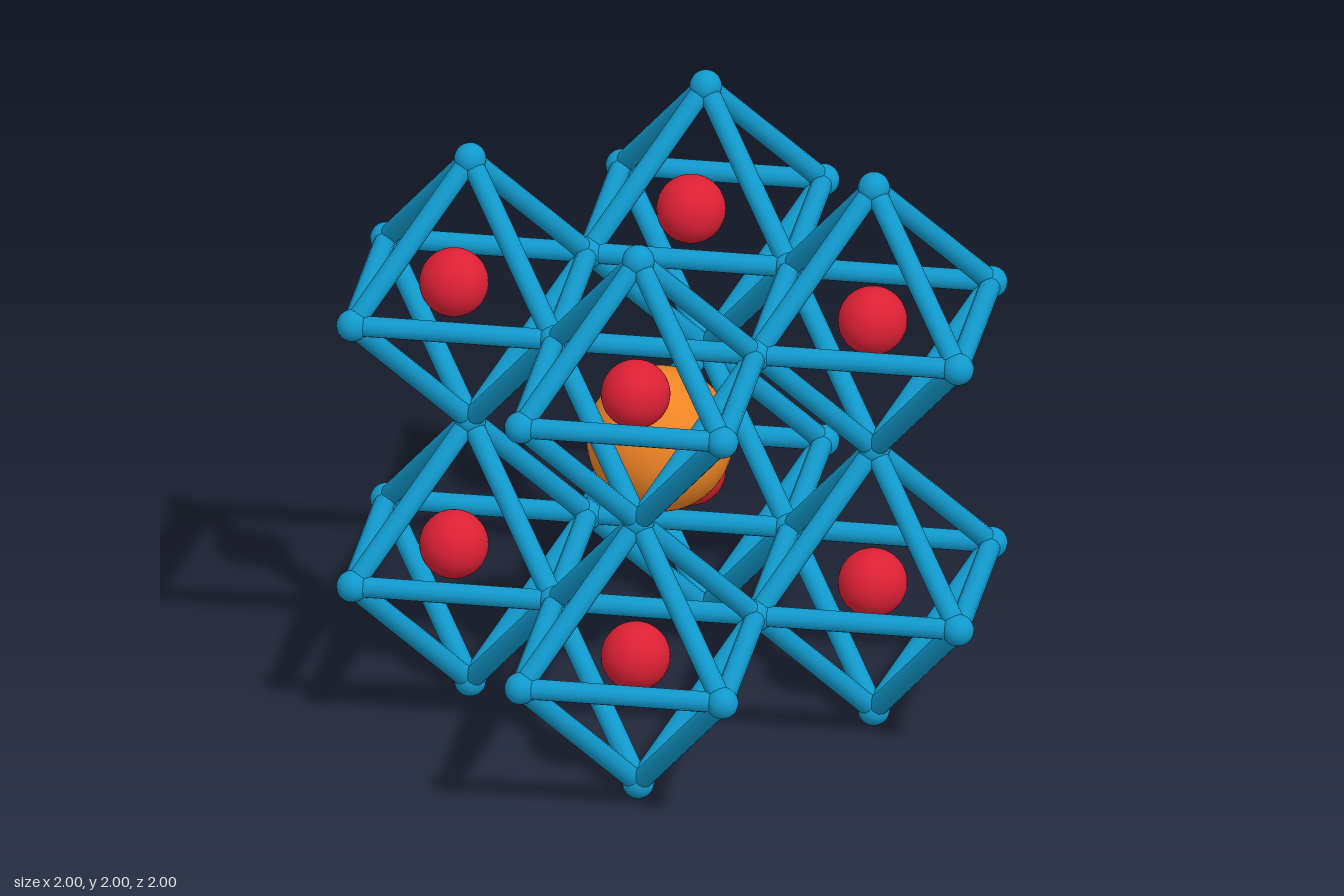
import * as THREE from 'three';

const A = 0.473;          // half diagonal of one octahedron
const ROD_R = 0.035;
const JOINT_R = 0.053;

export function createModel() {
  const model = new THREE.Group();
  model.name = 'crystalLattice';
  const blue = new THREE.MeshStandardMaterial({ color: 0x1199cc });
  const red = new THREE.MeshStandardMaterial({ color: 0xdc2035 });
  const orange = new THREE.MeshStandardMaterial({ color: 0xee8425 });

  const rodGeo = new THREE.CylinderGeometry(ROD_R, ROD_R, A * Math.SQRT2, 12);
  const jointGeo = new THREE.SphereGeometry(JOINT_R, 20, 14);
  const smallAtomGeo = new THREE.SphereGeometry(0.114, 32, 24);
  const up = new THREE.Vector3(0, 1, 0);
  const joints = new Map();

  const add = (parent, name, geo, mat, pos) => {
    const mesh = new THREE.Mesh(geo, mat);
    mesh.name = name;
    mesh.position.copy(pos);
    parent.add(mesh);
    return mesh;
  };

  // Six corners of an octahedron, as opposite pairs
  const corners = [0, 1, 2].flatMap((axis) =>
    [-A, A].map((d) => new THREE.Vector3().setComponent(axis, d)));

  // Twelve rods joining every pair of corners that are not opposite
  const addOctahedron = (centre) => {
    const cage = new THREE.Group();
    cage.name = 'octahedron';
    cage.position.copy(centre);
    model.add(cage);
    corners.forEach((p, i) => {
      const world = p.clone().add(centre);
      const key = world.toArray().map((v) => Math.round(v * 100)).join('_').replace(/-0(?=_|$)/g, '0');
      joints.set(key, world);
      corners.slice(i + 1).forEach((q) => {
        if (Math.abs(p.dot(q)) > 1e-6) return;
        const rod = add(cage, 'rod', rodGeo, blue, p.clone().add(q).multiplyScalar(0.5));
        rod.quaternion.setFromUnitVectors(up, q.clone().sub(p).normalize());
      });
    });
  };

  // Eight corner-sharing octahedra, each with a small atom inside
  for (const x of [-1, 1]) for (const y of [-1, 1]) for (const z of [-1, 1]) {
    addOctahedron(new THREE.Vector3(x * A, 1 + y * A, z * A));
    add(model, 'smallAtom', smallAtomGeo, red,
      new THREE.Vector3(x * 0.476, (z > 0 ? 0.985 : 0.99) + y * 0.475, z > 0 ? 0.462 : -0.56));
  }

  // One ball per corner, shared corners only once
  for (const p of joints.values()) add(model, 'joint', jointGeo, blue, p);

  // Large atom in the central cavity, slightly off centre
  add(model, 'largeAtom', new THREE.SphereGeometry(0.24, 48, 32), orange,
    new THREE.Vector3(-0.02, 0.974, -0.04));

  return model;
}
